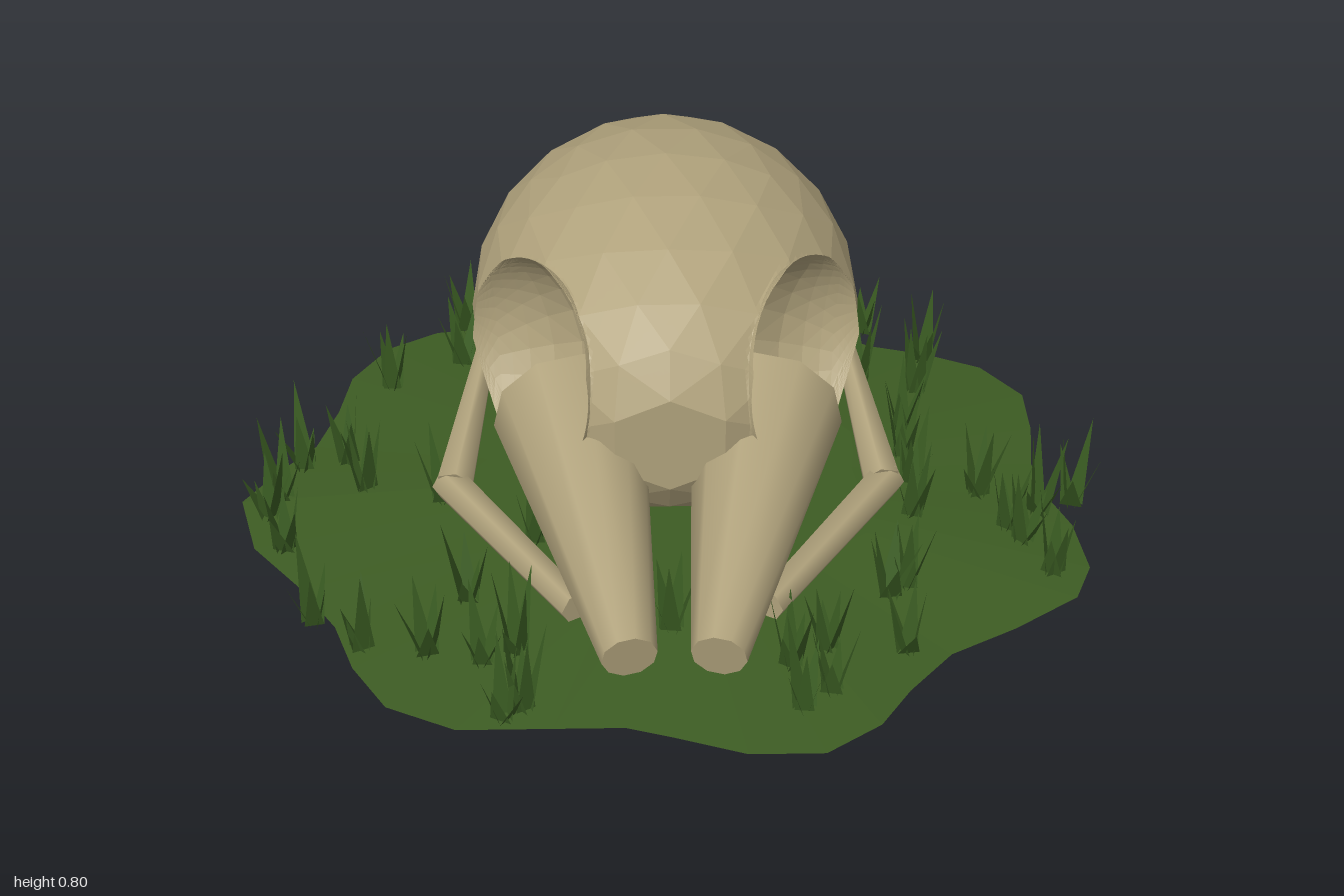
import * as THREE from 'three';

const bone = new THREE.MeshStandardMaterial({ color: 0xb0a27c, flatShading: true, side: THREE.DoubleSide });
bone.name = 'bone';
const boneSmooth = new THREE.MeshStandardMaterial({ color: 0xb0a27c });
boneSmooth.name = 'bone smooth';
const soil = new THREE.MeshStandardMaterial({ color: 0x3d5c23, side: THREE.DoubleSide });
soil.name = 'moss green';
const leaf = new THREE.MeshStandardMaterial({ color: 0x3a5c22, side: THREE.DoubleSide });
leaf.name = 'grass green';

let seed = 7;
const rand = () => (seed = (seed * 16807) % 2147483647) / 2147483647;
const V = (x, y, z) => new THREE.Vector3(x, y, z);

function part(name, geometry, material) {
  const m = new THREE.Mesh(geometry, material);
  m.name = name;
  return m;
}

function fromPositions(pos) {
  const g = new THREE.BufferGeometry();
  g.setAttribute('position', new THREE.Float32BufferAttribute(pos, 3));
  g.computeVertexNormals();
  return g;
}

// Tapered round bone from a to b
function taper(name, a, b, ra, rb, sides, material) {
  const m = part(name, new THREE.CylinderGeometry(rb, ra, a.distanceTo(b), sides), material);
  m.position.copy(a).lerp(b, 0.5);
  m.quaternion.setFromUnitVectors(V(0, 1, 0), b.clone().sub(a).normalize());
  return m;
}

// Faceted egg whose facets are split finely so the eye sockets can be scooped out
function craniumGeometry() {
  const src = new THREE.IcosahedronGeometry(1, 3).attributes.position;
  const N = 9, pos = [];
  const sockets = [V(0.38, 0.46, 0.16), V(-0.38, 0.46, 0.16)], R = 0.265;
  const shape = (i) => {
    const p = V().fromBufferAttribute(src, i);
    p.set(p.x * 0.445, p.y * 0.395 + 0.408, p.z * (p.z > 0 ? 0.58 : 0.545) - 0.2);
    p.z = Math.min(p.z, 0.35);
    return p;
  };
  for (let f = 0; f < src.count; f += 3) {
    const [a, b, c] = [shape(f), shape(f + 1), shape(f + 2)];
    const at = (i, j) => {
      const p = a.clone().addScaledVector(b.clone().sub(a), i / N).addScaledVector(c.clone().sub(a), j / N);
      for (const s of sockets) {
        const d = p.clone().sub(s);
        if (d.length() < R) p.copy(s).addScaledVector(d.normalize(), R);
      }
      return p;
    };
    const tri = (...ps) => ps.forEach((p) => pos.push(p.x, p.y, p.z));
    for (let i = 0; i < N; i++) {
      for (let j = 0; j < N - i; j++) {
        tri(at(i, j), at(i + 1, j), at(i, j + 1));
        if (i + j < N - 1) tri(at(i + 1, j), at(i + 1, j + 1), at(i, j + 1));
      }
    }
  }
  return fromPositions(pos);
}

// Ragged, slightly domed patch of ground
function groundGeometry() {
  const rim = [
    [0, -.84], [.16, -.86], [.3, -.79], [.42, -.67], [.53, -.6], [.67, -.56], [.8, -.5], [.89, -.38],
    [.89, -.24], [.87, -.1], [.89, .03], [.93, .13], [.945, .28], [.9, .38], [.75, .48], [.6, .56],
    [.5, .67], [.43, .77], [.31, .85], [.15, .85], [0, .8], [-.1, .77], [-.25, .77], [-.45, .77],
    [-.6, .7], [-.68, .58], [-.73, .45], [-.82, .32], [-.94, .18], [-.99, .01], [-.92, -.1], [-.84, -.2],
    [-.8, -.34], [-.78, -.48], [-.7, -.61], [-.58, -.68], [-.42, -.7], [-.28, -.72], [-.12, -.78]];
  const rings = [[0, .037], [.5, .035], [1, 0]], pos = [];
  const at = (r, i) => {
    const [x, z] = rim[i % rim.length], [s, y] = rings[r];
    return [x * s, y, z * s];
  };
  for (let r = 0; r < 2; r++) {
    for (let i = 0; i < rim.length; i++) {
      pos.push(...at(r, i), ...at(r + 1, i + 1), ...at(r + 1, i));
      if (r > 0) pos.push(...at(r, i), ...at(r, i + 1), ...at(r + 1, i + 1));
    }
  }
  return fromPositions(pos);
}

// Tufts of pointed blades leaning outwards
function grassGeometry() {
  const tufts = [
    [-.5, -.65], [-.5, -.5], [-.67, -.4], [-.75, -.1], [-.85, -.08], [-.89, .04], [-.91, .1], [-.86, .22],
    [-.7, 0], [-.52, .05], [-.77, .47], [-.66, .55], [-.52, .57], [-.33, .57], [-.31, .74], [-.35, .77],
    [-.3, -.75], [-.09, -.76], [.4, -.67], [.51, -.62], [.65, -.49], [.48, -.4], [.62, -.36], [.57, -.2],
    [.56, -.1], [.57, 0], [.56, .12], [.72, .05], [.77, .17], [.8, .22], [.85, .12], [.93, .09],
    [.85, .33], [.52, .37], [.48, .4], [.5, .58], [.33, .57], [.27, .75], [.33, .7], [.25, .62],
    [-.4, .6], [-.44, .4], [0, .5], [.1, .15], [-.12, -.1], [.15, -.25], [-.3, .2]];
  const pos = [];
  for (const [x, z] of tufts) {
    const turn = rand() * Math.PI;
    for (let k = 0; k < 5; k++) {
      const a = turn + k * 1.257 + rand() * 0.5;
      const c = Math.cos(a), s = Math.sin(a);
      const h = 0.09 + rand() * 0.13, lean = 0.03 + rand() * 0.035, w = 0.02 + rand() * 0.006;
      const bx = x + c * 0.012, bz = z + s * 0.012;
      pos.push(bx + s * w, .035, bz - c * w, bx - s * w, .035, bz + c * w, x + c * lean, .035 + h, z + s * lean);
    }
  }
  return fromPositions(pos);
}

export function createModel() {
  const model = new THREE.Group();
  model.name = 'skullInGrass';
  model.add(
    part('ground', groundGeometry(), soil),
    part('grass', grassGeometry(), leaf),
    part('cranium', craniumGeometry(), bone));

  // Paired snout and cheek bones
  for (const s of [1, -1]) {
    const side = s > 0 ? 'left' : 'right';
    const elbow = V(s * 0.475, 0.185, 0.19);
    model.add(
      taper(side + 'Snout', V(s * 0.22, 0.32, 0.095), V(s * 0.09, 0.205, 0.78), 0.17, 0.058, 10, boneSmooth),
      taper(side + 'RearCheekBone', elbow, V(s * 0.41, 0.32, -0.2), 0.045, 0.022, 6, boneSmooth),
      taper(side + 'FrontCheekBone', V(s * 0.49, 0.18, 0.17), V(s * 0.2, 0.18, 0.6), 0.042, 0.035, 6, boneSmooth));
  }
  return model;
}
